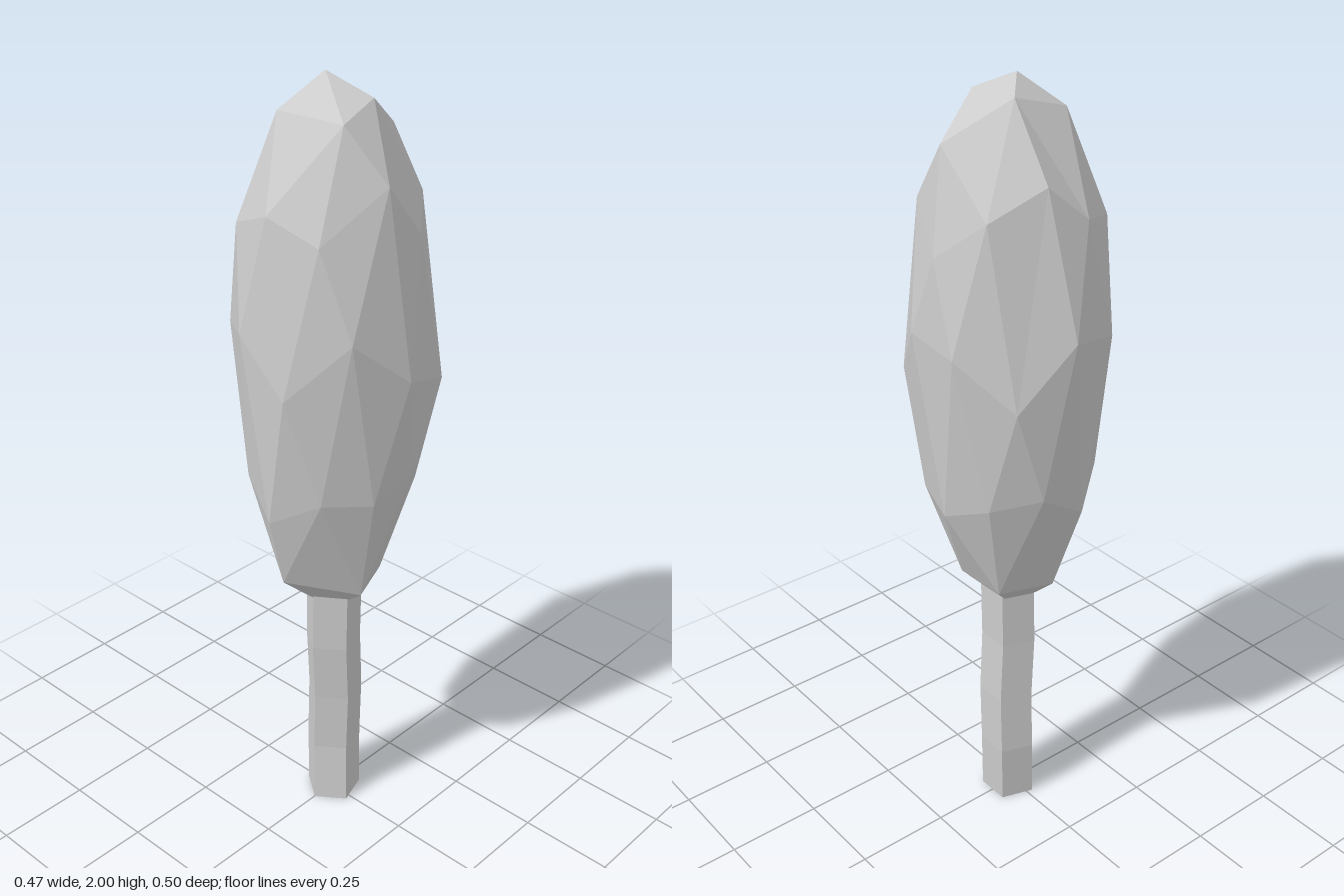
import * as THREE from 'three';

const material = new THREE.MeshStandardMaterial({ color: 0xcccccc, flatShading: true });

// Ring of points around y: [radius, height, optional angle shift] in degrees
function ring(startAngle, points) {
  return points.map(([r, y, shift = 0], i) => {
    const a = THREE.MathUtils.degToRad(startAngle + (i * 360) / points.length + shift);
    return new THREE.Vector3(r * Math.cos(a), y, r * Math.sin(a));
  });
}

// Crown: a stretched, uneven 80-faced ball made of five-fold rings
function makeCrown() {
  const T = new THREE.Vector3(-0.005, 2, -0.013);
  const A = ring(0, [[0.174, 1.86, 12], [0.101, 1.95, -2], [0.151, 1.92, -17], [0.122, 1.92, -1], [0.075, 1.96, 16]]);
  const U = ring(0, [[0.224, 1.62], [0.221, 1.66], [0.222, 1.67], [0.219, 1.67], [0.18, 1.79, -5]]);
  const M = ring(36, [[0.213, 1.72], [0.208, 1.79, -8], [0.21, 1.72], [0.204, 1.7], [0.207, 1.72]]);
  const E = ring(18, [[0.248, 1.42], [0.266, 1.27, -5], [0.25, 1.33], [0.246, 1.45], [0.244, 1.3, 2],
    [0.245, 1.43, -2], [0.243, 1.4], [0.252, 1.44, 3], [0.243, 1.28], [0.247, 1.4]]);
  const L = ring(36, [[0.216, 0.97], [0.209, 1.01], [0.22, 0.95], [0.205, 0.95], [0.207, 1]]);
  const K = ring(0, [[0.21, 0.95], [0.217, 1.06, -5], [0.206, 1.02], [0.208, 1.02], [0.213, 1.03]]);
  const B = ring(36, [[0.128, 0.71], [0.133, 0.71, -5], [0.175, 0.76], [0.125, 0.71], [0.122, 0.71]]);
  const P = new THREE.Vector3(0, 0.6, 0);

  const corners = [];
  const face = (a, b, c) => corners.push(a, c, b);
  for (let i = 0; i < 5; i++) {
    const j = (i + 1) % 5;
    const e0 = E[2 * i], e1 = E[2 * i + 1], e2 = E[(2 * i + 2) % 10];
    // cap
    face(T, A[i], A[j]);
    face(A[i], M[i], A[j]);
    face(A[i], U[i], M[i]);
    face(A[j], M[i], U[j]);
    // upper side
    face(U[i], e0, M[i]);
    face(M[i], e1, U[j]);
    face(M[i], e0, e1);
    face(U[j], e1, e2);
    // lower side
    face(e0, L[i], e1);
    face(e1, K[j], e2);
    face(e1, L[i], K[j]);
    face(e2, K[j], L[j]);
    // underside
    face(L[i], B[i], K[j]);
    face(K[j], B[j], L[j]);
    face(K[j], B[i], B[j]);
    face(B[i], P, B[j]);
  }
  const geometry = new THREE.BufferGeometry().setFromPoints(corners);
  geometry.computeVertexNormals();
  return geometry;
}

// Trunk: five-sided column whose levels are shifted sideways a little
function makeTrunk() {
  const height = 0.68, levels = 4;
  const shiftX = [0.007, 0.014, 0.012, 0, 0];
  const shiftZ = [0, -0.007, 0, 0.004, 0.007];
  const geometry = new THREE.CylinderGeometry(0.075, 0.075, height, 5, levels, false, -Math.PI / 2);
  geometry.translate(0, height / 2, 0);
  const p = geometry.attributes.position;
  for (let i = 0; i < p.count; i++) {
    const level = Math.round((p.getY(i) / height) * levels);
    p.setX(i, p.getX(i) + shiftX[level]);
    p.setZ(i, p.getZ(i) + shiftZ[level]);
  }
  geometry.computeVertexNormals();
  return geometry;
}

export function createModel() {
  const group = new THREE.Group();
  group.name = 'tree';
  for (const [name, geometry] of [['crown', makeCrown()], ['trunk', makeTrunk()]]) {
    const mesh = new THREE.Mesh(geometry, material);
    mesh.name = name;
    group.add(mesh);
  }
  return group;
}
